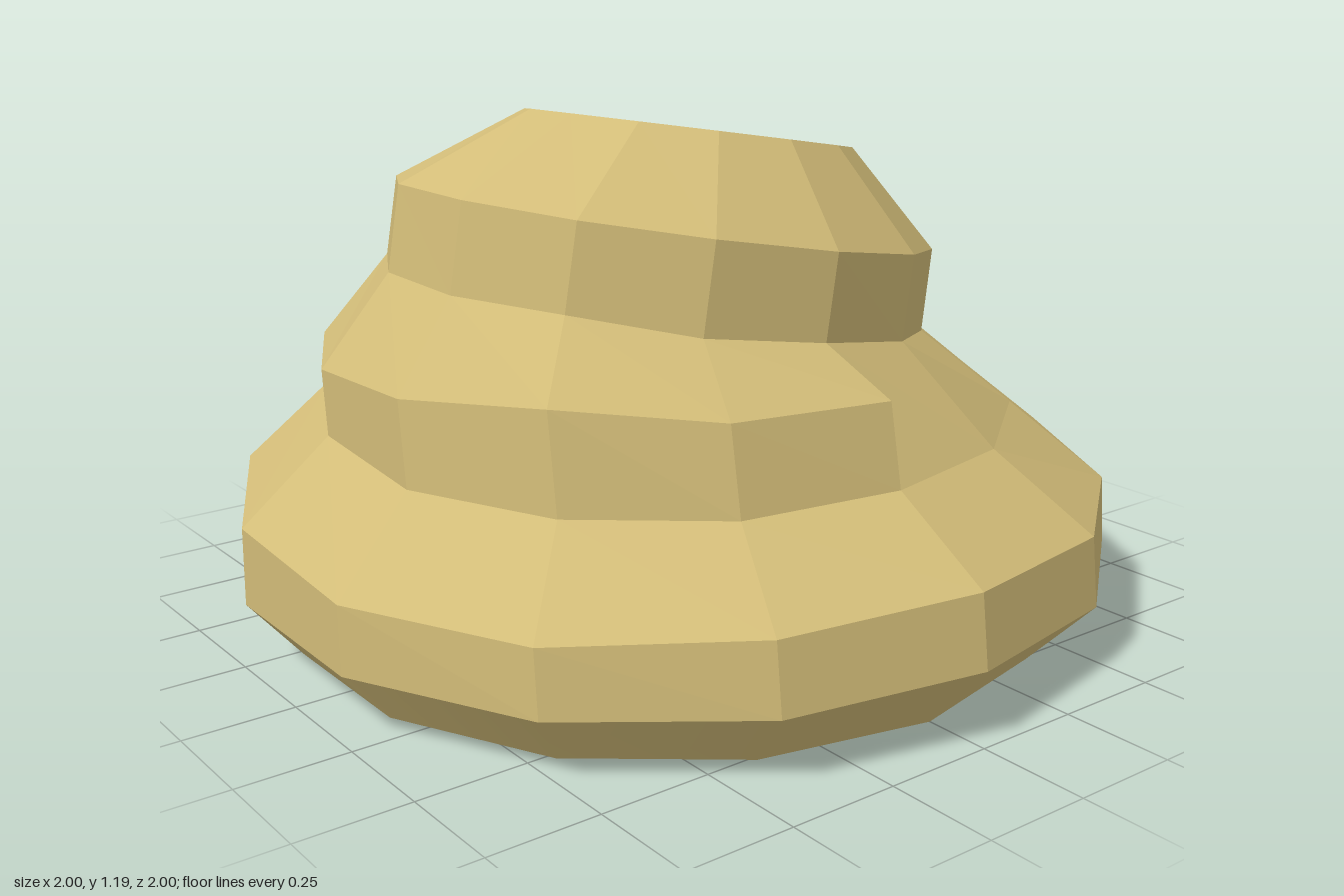
import * as THREE from 'three';

const SIDES = 14;
const SHELF_END = 10; // the spiral ledge runs from side 0 round to this side

// One 14-sided cross-section: centre, radii and a height rule (list or function of x, z)
function ring(cx, cz, rx, rz, height) {
  return Array.from({ length: SIDES }, (_, k) => {
    const a = (k / SIDES) * Math.PI * 2;
    const x = cx + rx * Math.cos(a), z = cz + rz * Math.sin(a);
    return [x, typeof height === 'function' ? height(x, z) : height[k], z];
  });
}

// Faceted band between two rings, over sides from..to
function band(lower, upper, from = 0, to = SIDES) {
  const out = [];
  for (let k = from; k < to; k++) {
    const n = (k + 1) % SIDES;
    out.push(lower[k], upper[k], upper[n], lower[k], upper[n], lower[n]);
  }
  return out;
}

// Flat cap as a fan round the ring's middle
function cap(r, up) {
  const mid = [0, 1, 2].map(i => r.reduce((s, p) => s + p[i], 0) / SIDES);
  return r.flatMap((p, k) => {
    const q = r[(k + 1) % SIDES];
    return up ? [mid, q, p] : [mid, p, q];
  });
}

function addMesh(group, name, points, material) {
  const g = new THREE.BufferGeometry();
  g.setAttribute('position', new THREE.Float32BufferAttribute(points.flat(), 3));
  g.computeVertexNormals();
  const mesh = new THREE.Mesh(g, material);
  mesh.name = name;
  group.add(mesh);
  return mesh;
}

export function createModel() {
  const group = new THREE.Group();
  group.name = 'steppedMound';
  const sand = new THREE.MeshStandardMaterial({ color: 0xd2bc78 });
  sand.name = 'sand';

  // Cross-sections from the ground up
  const foot = ring(-0.035, 0, 0.885, 0.89, () => 0);
  const belly = ring(0, 0, 1, 1.026,
    [.165, .155, .15, .15, .155, .17, .18, .185, .18, .17, .155, .15, .15, .155]);
  const rim = ring(0, 0, 0.98, 1.026,
    [.325, .31, .295, .3, .33, .355, .35, .345, .34, .335, .325, .32, .3, .31]);
  const ledgeFoot = ring(-0.025, 0, 0.77, 0.82,
    [.47, .46, .465, .475, .505, .535, .59, .6, .58, .53, .49, .49, .48, .47]);
  const ledgeTop = ring(-0.045, 0, 0.755, 0.82,
    [.65, .65, .68, .66, .65, .65, .65, .675, .66, .64, .62, .62, .62, .62]);
  const headFoot = ring(-0.045, 0.025, 0.585, 0.64,
    [.74, .78, .83, .845, .85, .84, .81, .79, .75, .70, .67, .66, .65, .69]);
  const headTop = ring(-0.04, 0, 0.585, 0.635, (x, z) => 0.93 + 0.177 * z);
  const crown = ring(0, -0.035, 0.35, 0.385, (x, z) => 1.132 + 0.03 * x + 0.173 * z);

  // Base
  addMesh(group, 'underside', cap(foot, false), sand);
  const undercut = addMesh(group, 'baseUndercut', band(foot, belly), sand);
  // Rounded shading: each normal points outward and down along the undercut
  const pos = undercut.geometry.attributes.position;
  const nor = undercut.geometry.attributes.normal;
  const v = new THREE.Vector3();
  for (let i = 0; i < pos.count; i++) {
    v.set(pos.getX(i), 0, pos.getZ(i)).normalize().setY(-0.75).normalize();
    nor.setXYZ(i, v.x, v.y, v.z);
  }
  addMesh(group, 'baseWall', band(belly, rim), sand);
  addMesh(group, 'baseSlope', band(rim, ledgeFoot), sand);

  // Spiral ledge with its two end faces, and the plain slope closing the back
  addMesh(group, 'ledgeWall', band(ledgeFoot, ledgeTop, 0, SHELF_END), sand);
  addMesh(group, 'ledgeShelf', band(ledgeTop, headFoot, 0, SHELF_END), sand);
  addMesh(group, 'backSlope', band(ledgeFoot, headFoot, SHELF_END, SIDES), sand);
  const e = SHELF_END;
  addMesh(group, 'ledgeEnds', [
    ledgeFoot[0], headFoot[0], ledgeTop[0],
    ledgeFoot[e], ledgeTop[e], headFoot[e],
  ], sand);

  // Tilted head
  addMesh(group, 'headWall', band(headFoot, headTop), sand);
  addMesh(group, 'headSlope', band(headTop, crown), sand);
  addMesh(group, 'crown', cap(crown, true), sand);
  return group;
}
